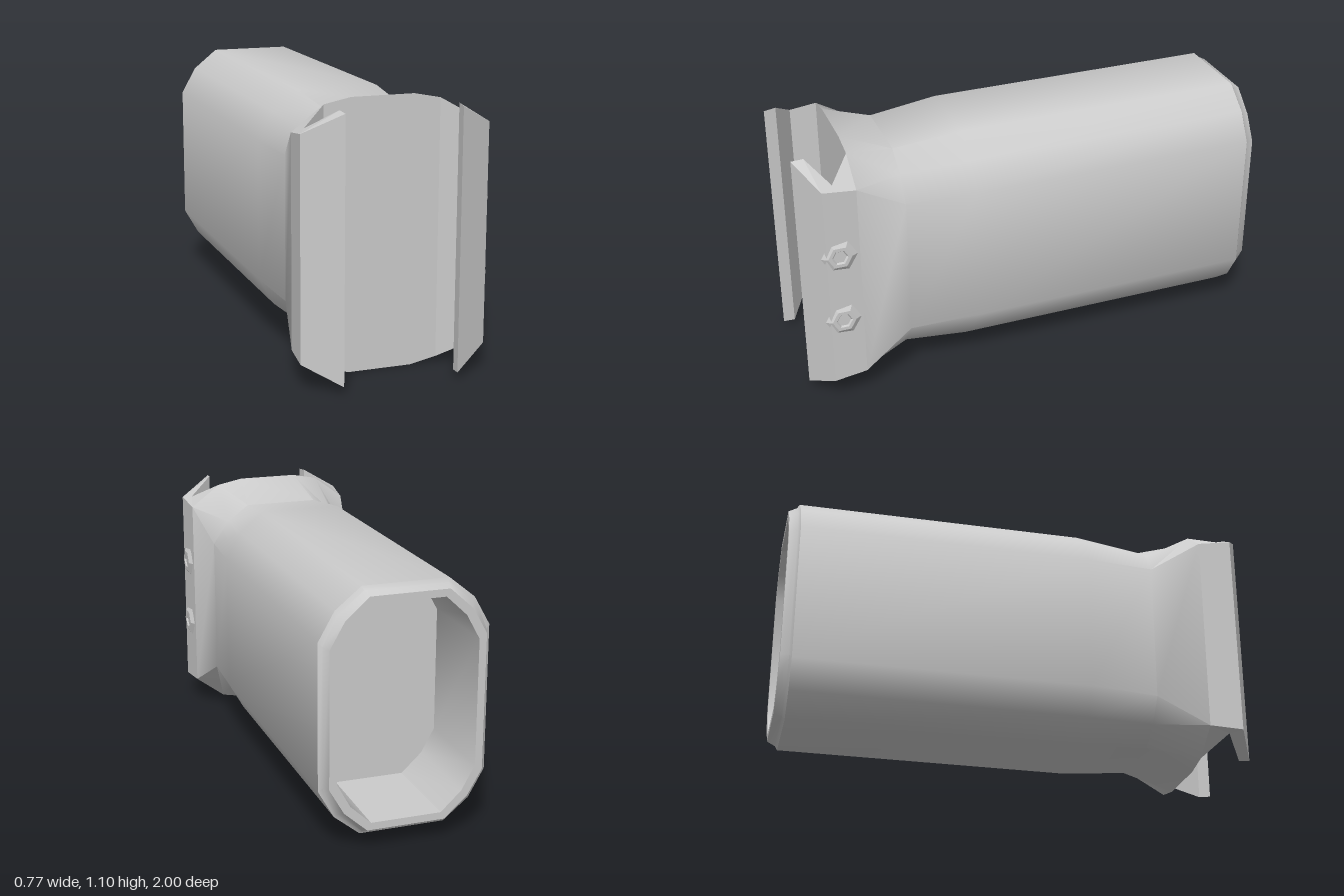
import * as THREE from 'three';
import { toCreasedNormals } from 'three/addons/utils/BufferGeometryUtils.js';

const grey = new THREE.MeshStandardMaterial({ color: 0xcccccc, side: THREE.DoubleSide });

// Twelve-point section: flat top half-width a, corner point (mx, my below top), side starting c below top
function ring(z, hw, bot, top, a, mx, my, c) {
  const right = [[hw, top - c], [mx, top - my], [a, top]];
  const left = [[-a, top], [-mx, top - my], [-hw, top - c]];
  const flip = ([x, y]) => [x, top + bot - y];
  const loop = [...right, ...left, ...[...left].reverse().map(flip), ...[...right].reverse().map(flip)];
  return loop.map(([x, y]) => new THREE.Vector3(x, y, z));
}

function fromTriangles(points, crease) {
  const geo = new THREE.BufferGeometry().setFromPoints(points);
  if (crease) return toCreasedNormals(geo, crease);
  geo.computeVertexNormals();
  return geo;
}

function loft(rings) {
  const tris = [];
  for (let i = 0; i < rings.length - 1; i++) {
    const p = rings[i], q = rings[i + 1], n = p.length;
    for (let j = 0; j < n; j++) {
      const k = (j + 1) % n;
      tris.push(p[j], q[j], q[k], p[j], q[k], p[k]);
    }
  }
  return fromTriangles(tris, 0.75);
}

function fan(loop) {
  const tris = [];
  for (let i = 1; i < loop.length - 1; i++) tris.push(loop[0], loop[i], loop[i + 1]);
  return fromTriangles(tris);
}

// Clamp jaw: an upright channel profile of [x, z, bottom y, top y]
function jaw(side) {
  const profile = [
    [0.24, 0.78, 0.022, 1.078], [0.35, 0.87, 0.1, 1.01], [0.24, 0.95, 0.025, 1.085],
    [0.235, 1.0, 0.03, 1.08], [0.382, 0.92, 0.11, 1.0], [0.37, 0.78, 0.12, 0.98],
  ];
  const lo = profile.map(([x, z, b]) => new THREE.Vector3(x * side, b, z));
  const hi = profile.map(([x, z, , t]) => new THREE.Vector3(x * side, t, z));
  const tris = [];
  const add = (a, b, c) => (side > 0 ? tris.push(a, b, c) : tris.push(a, c, b));
  for (let i = 0; i < 5; i++) {
    add(lo[i], lo[i + 1], hi[i + 1]);
    add(lo[i], hi[i + 1], hi[i]);
  }
  for (const [a, b, c] of [[0, 1, 5], [1, 4, 5], [1, 2, 4], [2, 3, 4]]) {
    add(hi[a], hi[b], hi[c]);
    add(lo[a], lo[c], lo[b]);
  }
  return fromTriangles(tris);
}

export function createModel() {
  const model = new THREE.Group();
  const add = (name, geo) => {
    const mesh = new THREE.Mesh(geo, grey);
    mesh.name = name;
    model.add(mesh);
    return mesh;
  };

  // Grip body, flaring out toward the clamp
  const mouth = ring(0.78, 0.37, 0, 1.1, 0.13, 0.24, 0.022, 0.12);
  add('gripBody', loft([
    mouth,
    ring(0.57, 0.325, 0.08, 1.02, 0.16, 0.255, 0.07, 0.17),
    ring(0.28, 0.345, 0.06, 1.053, 0.175, 0.28, 0.085, 0.2),
    ring(-0.955, 0.345, 0.06, 1.055, 0.175, 0.28, 0.085, 0.2),
  ]));

  // Stepped end rim and the storage cavity behind it
  const floor = ring(-0.6, 0.285, 0.12, 0.995, 0.145, 0.23, 0.08, 0.18);
  add('endRim', loft([
    ring(-0.955, 0.345, 0.06, 1.055, 0.175, 0.28, 0.085, 0.2),
    ring(-0.965, 0.33, 0.075, 1.04, 0.17, 0.27, 0.085, 0.2),
    ring(-1.0, 0.315, 0.09, 1.025, 0.16, 0.255, 0.085, 0.19),
    ring(-1.0, 0.285, 0.12, 0.995, 0.145, 0.23, 0.08, 0.18),
    floor,
  ]));
  add('cavityFloor', fan([...floor].reverse()));

  // Flat mounting face between the two jaws
  add('mountingFace', fan(mouth.filter((p) => Math.abs(p.x) < 0.25)));
  add('leftJaw', jaw(1));
  add('rightJaw', jaw(-1));

  // Hexagonal clamp screws on the left jaw
  const screwProfile = [[0.075, 0], [0.05, 0.014], [0.034, 0.014], [0.028, 0.007], [0, 0.007]]
    .map(([r, h]) => new THREE.Vector2(r, h));
  const screwGeo = toCreasedNormals(new THREE.LatheGeometry(screwProfile, 6), 0.3);
  for (const y of [0.4, 0.7]) {
    const screw = add('clampScrew', screwGeo);
    screw.rotation.z = -Math.PI / 2;
    screw.position.set(0.373, y, 0.865);
  }
  return model;
}
